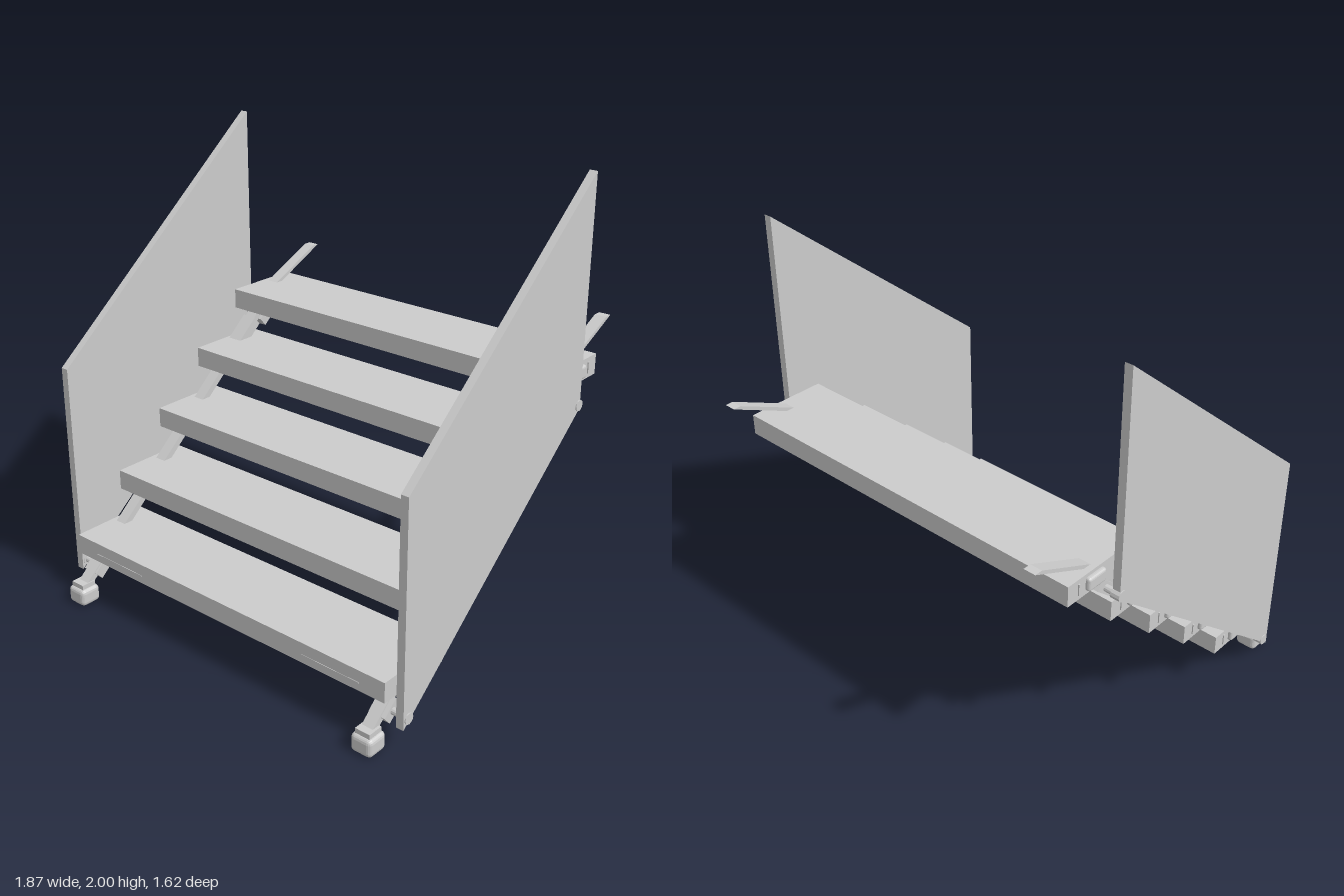
import * as THREE from 'three';
import { RoundedBoxGeometry } from 'three/addons/geometries/RoundedBoxGeometry.js';

const material = new THREE.MeshStandardMaterial({ color: 0xcccccc, flatShading: true });
const STEPS = 5, RISE = 0.2215, RUN = 0.257;
const PITCH = Math.atan2(RISE, RUN);

// Height of the stringer's centre line at depth z
const stringerY = (z) => 0.28 + (0.53 - z) * (RISE / RUN);

export function createModel() {
  const group = new THREE.Group();

  function add(name, geometry, x, y, z, tilt = 0) {
    const mesh = new THREE.Mesh(geometry, material);
    mesh.name = name;
    mesh.position.set(x, y, z);
    mesh.rotation.x = tilt;
    group.add(mesh);
    return mesh;
  }
  const box = (name, w, h, d, x, y, z, tilt) =>
    add(name, new THREE.BoxGeometry(w, h, d), x, y, z, tilt);

  // Side profile given as [z, y] points, extruded across x around its centre
  function plate(name, points, width, x, y = 0, z = 0) {
    const shape = new THREE.Shape(points.map((p) => new THREE.Vector2(p[0], p[1])));
    const geometry = new THREE.ExtrudeGeometry(shape, { depth: width, bevelEnabled: false });
    geometry.translate(0, 0, -width / 2).rotateY(-Math.PI / 2);
    return add(name, geometry, x, y, z);
  }

  // Treads
  for (let i = 0; i < STEPS; i++) {
    const y = 0.255 + i * RISE, z = 0.548 - i * RUN;
    box('tread', 1.73, 0.09, 0.36, 0, y, z);
    for (const s of [-1, 1]) {
      // Rounded end pad, end slot and support under the tread
      add('treadEndPad', new RoundedBoxGeometry(0.03, 0.06, 0.1, 2, 0.012), s * 0.869, y, z - 0.032);
      box('treadEndSlot', 0.008, 0.05, 0.008, s * 0.866, y, z - 0.12);
      plate('treadBracket', [[0.1, 0], [0.07, -0.045], [0.055, -0.045], [-0.035, 0]],
        0.06, s * 0.82, y - 0.045, z);
    }
  }

  for (const s of [-1, 1]) {
    // Sloping stringer
    const z0 = 0.77, z1 = -0.5;
    box('stringer', 0.053, 0.03, (z0 - z1) / Math.cos(PITCH),
      s * 0.812, stringerY((z0 + z1) / 2), (z0 + z1) / 2, PITCH);

    // Arm resting on the landing
    plate('landingArm', [[-0.805, 1.31], [-0.77, 1.31], [-0.46, 1.165], [-0.46, 1.147]], 0.053, s * 0.812);

    // Rounded foot with ankle
    add('foot', new RoundedBoxGeometry(0.1, 0.08, 0.1, 2, 0.02), s * 0.815, 0.04, 0.76);
    box('footAnkle', 0.07, 0.03, 0.07, s * 0.815, 0.085, 0.76);

    // Side panel
    plate('sidePanel', [[0.695, 0.1], [-0.44, 1.03], [-0.44, 2], [0.695, 1.07]], 0.035, s * 0.912);

    // Collars on the stringer, with pins that carry the panel
    for (const [y, z] of [[0.14, 0.665], [1.045, -0.43]]) {
      box('panelCollar', 0.078, 0.05, 0.09, s * 0.818, y, z, PITCH);
      const pin = add('panelPin', new THREE.CylinderGeometry(0.015, 0.015, 0.09, 12), s * 0.88, y, z);
      pin.rotation.z = Math.PI / 2;
      const cap = add('panelPinCap', new THREE.CylinderGeometry(0.024, 0.024, 0.042, 12), s * 0.913, y, z);
      cap.rotation.z = Math.PI / 2;
    }

    // Thin seam on the front of the lowest tread
    box('frontSeam', 0.285, 0.006, 0.006, s * 0.6, 0.245, 0.727);
  }

  // Hinge block on one stringer only
  box('hingeBlock', 0.07, 0.05, 0.28, -0.815, stringerY(-0.25) - 0.01, -0.25, PITCH);

  return group;
}
